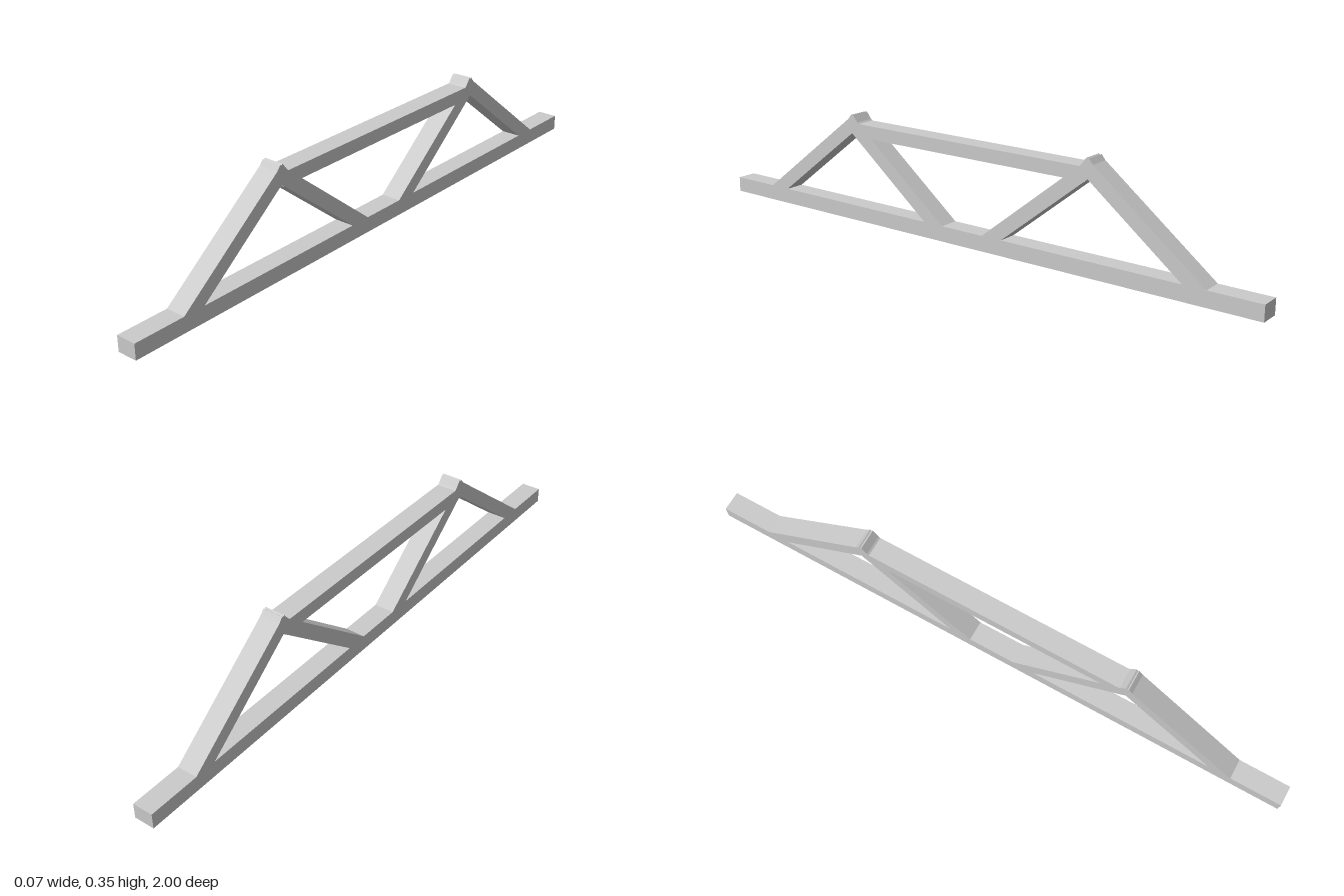
import * as THREE from 'three';

const WIDTH = 0.066;
const material = new THREE.MeshStandardMaterial({ color: 0xcccccc, flatShading: true });

// Square-ended beam whose centre line runs between two [z, y] points
function beam(name, [z0, y0], [z1, y1], thickness) {
  const dz = z1 - z0, dy = y1 - y0;
  const mesh = new THREE.Mesh(new THREE.BoxGeometry(WIDTH, thickness, Math.hypot(dz, dy)), material);
  mesh.position.set(0, (y0 + y1) / 2, (z0 + z1) / 2);
  mesh.rotation.x = -Math.atan2(dy, dz);
  mesh.name = name;
  return mesh;
}

export function createModel() {
  const truss = new THREE.Group();
  truss.name = 'truss';

  // Horizontal chords
  truss.add(beam('bottomChord', [-1, 0.025], [1, 0.025], 0.05));
  truss.add(beam('topChord', [-0.44, 0.304], [0.44, 0.304], 0.043));

  // Sloping braces, crossing just past each peak
  for (const [end, s] of [['front', 1], ['back', -1]]) {
    truss.add(beam(end + 'OuterBrace', [s * 0.82, 0.03], [s * 0.429, 0.335], 0.045));
    truss.add(beam(end + 'InnerBrace', [s * 0.088, 0.03], [s * 0.466, 0.334], 0.045));
  }
  return truss;
}
